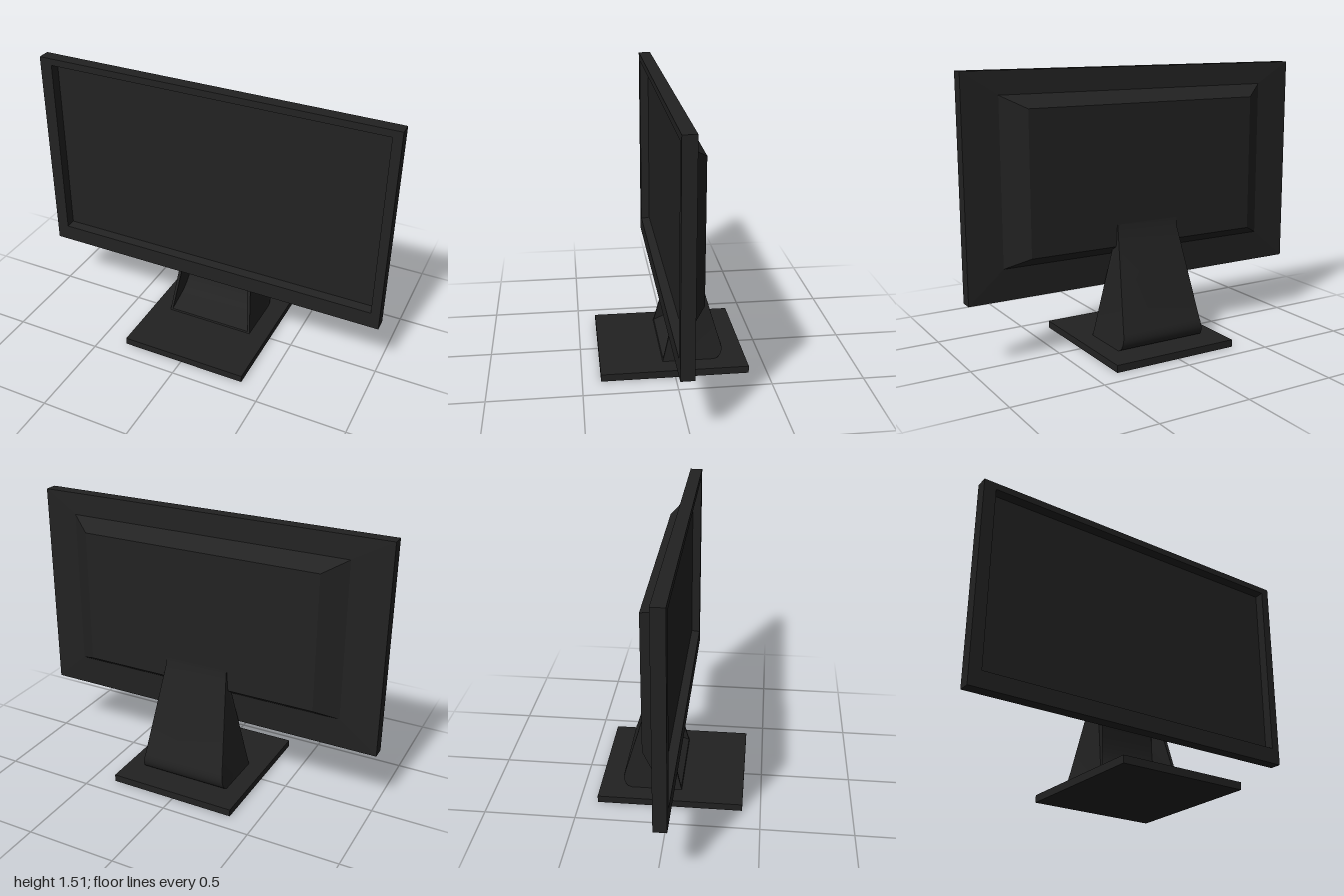
import * as THREE from 'three';
import { toCreasedNormals } from 'three/addons/utils/BufferGeometryUtils.js';

const CENTER = 0.01; // the stand and rear housing sit slightly off the middle

// Closed skin over rectangular rings [x0, x1, y0, y1, z], ordered front to back
function loftRects(rings) {
  const pos = [];
  const loops = rings.map(([x0, x1, y0, y1, z]) => [[x0, y0, z], [x1, y0, z], [x1, y1, z], [x0, y1, z]]);
  const quad = (a, b, c, d) => pos.push(...a, ...b, ...c, ...a, ...c, ...d);
  quad(...loops[0]);
  for (let r = 0; r < loops.length - 1; r++) {
    for (let i = 0; i < 4; i++) {
      const j = (i + 1) % 4;
      quad(loops[r][i], loops[r + 1][i], loops[r + 1][j], loops[r][j]);
    }
  }
  quad(...[...loops[loops.length - 1]].reverse());
  const geo = new THREE.BufferGeometry();
  geo.setAttribute('position', new THREE.Float32BufferAttribute(pos, 3));
  geo.computeVertexNormals();
  return geo;
}

// Half width of the stand, narrowing with height
const halfWidth = (y) => Math.max(0.185, 0.255 - 0.143 * (y - 0.045));

// Side profile of [z, y] points, extruded across x and tapered; x0 and x1 are fractions of the width
function taperedProfile(points, x0, x1) {
  const shape = new THREE.Shape(points.map(([z, y]) => new THREE.Vector2(z, y)));
  const geo = new THREE.ExtrudeGeometry(shape, { depth: x1 - x0, bevelEnabled: false });
  geo.rotateY(-Math.PI / 2);
  geo.translate(x1, 0, 0);
  const p = geo.attributes.position;
  for (let i = 0; i < p.count; i++) p.setX(i, CENTER + p.getX(i) * halfWidth(p.getY(i)));
  return toCreasedNormals(geo, 0.6);
}

function smooth(points, count) {
  const curve = new THREE.SplineCurve(points.map(([z, y]) => new THREE.Vector2(z, y)));
  return curve.getPoints(count).map((v) => [v.x, v.y]);
}

export function createModel() {
  const model = new THREE.Group();
  model.name = 'monitor';
  const material = new THREE.MeshStandardMaterial({ color: 0x222222 });
  const add = (name, geo, parent = model) => {
    const mesh = new THREE.Mesh(geo, material);
    mesh.name = name;
    parent.add(mesh);
    return mesh;
  };

  // Display: recessed screen, bezel, shallow back and sloped rear housing
  add('display', loftRects([
    [-0.925, 0.945, 0.445, 1.465, 0.01],
    [-0.93, 0.95, 0.437, 1.472, 0.06],
    [-1, 1, 0.345, 1.51, 0.06],
    [-1, 1, 0.345, 1.51, -0.01],
    [-0.79, 0.81, 0.515, 1.39, -0.018],
    [-0.67, 0.69, 0.57, 1.325, -0.1],
  ]));

  // Base plate
  const base = add('basePlate', new THREE.BoxGeometry(0.72, 0.04, 0.8));
  base.position.set(CENTER, 0.02, 0);

  // Stand: curved core with a scooped front and a rolled rear foot
  const stand = new THREE.Group();
  stand.name = 'stand';
  model.add(stand);
  const rear = [
    [-0.105, 0.69], [-0.11, 0.64], [-0.142, 0.535], [-0.182, 0.4],
    ...smooth([[-0.254, 0.155], [-0.266, 0.12], [-0.267, 0.085], [-0.252, 0.053], [-0.225, 0.04]], 10),
  ];
  const scoop = smooth([
    [0.055, 0.05], [0, 0.075], [-0.08, 0.115], [-0.135, 0.19], [-0.145, 0.3], [-0.125, 0.45], [-0.1, 0.6],
  ], 18);
  add('standCore', taperedProfile([...rear, [0.058, 0.04], ...scoop], -0.98, 0.98), stand);

  // Thin side walls framing the scoop
  const wall = [...rear, [0.058, 0.04], [0.055, 0.05], [-0.064, 0.535], [-0.1, 0.68]];
  add('rightSideWall', taperedProfile(wall, -1, -0.95), stand);
  add('leftSideWall', taperedProfile(wall, 0.95, 1), stand);

  return model;
}
